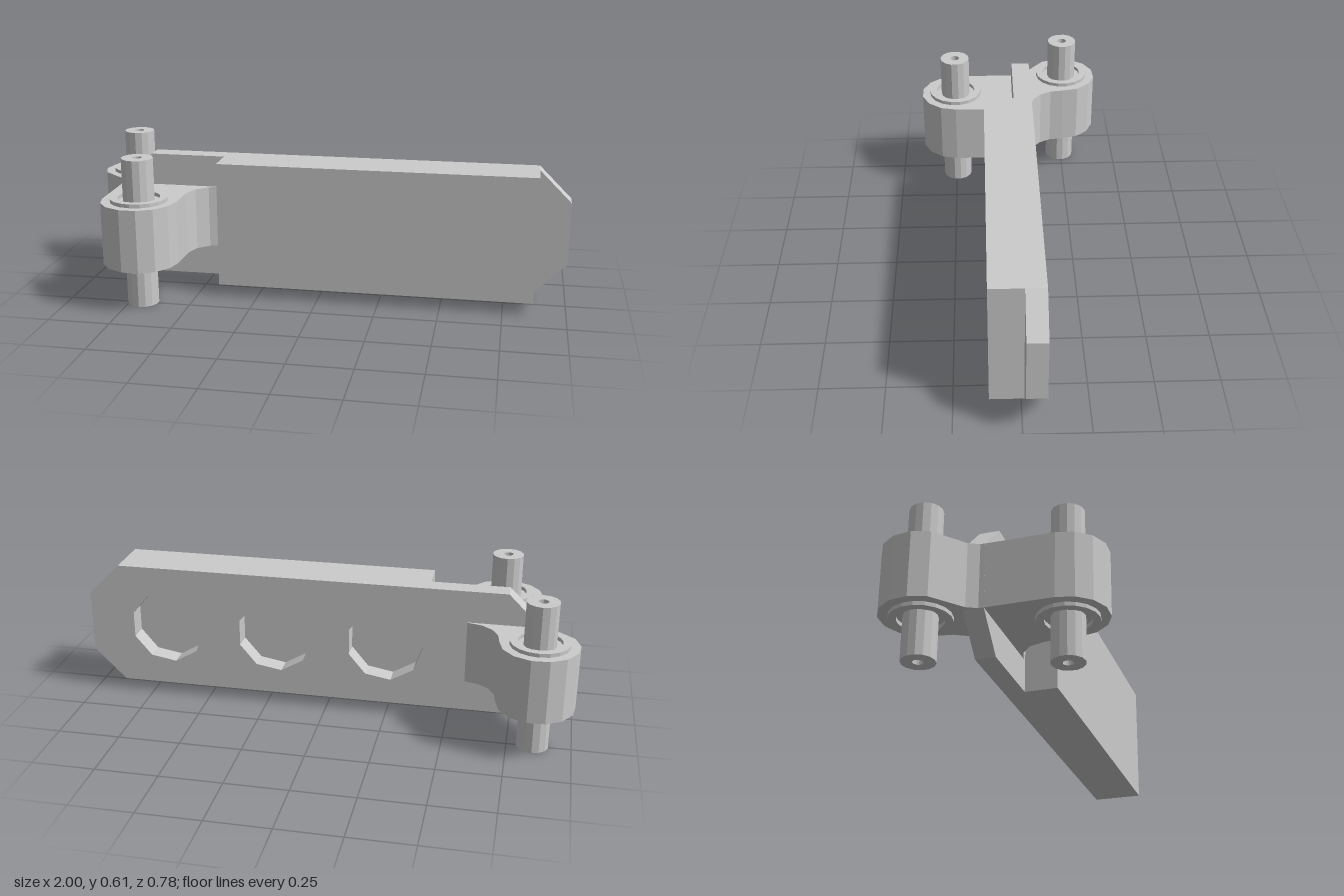
import * as THREE from 'three';

const material = new THREE.MeshStandardMaterial({ color: 0xcccccc, flatShading: true });

function add(parent, name, geometry) {
  const mesh = new THREE.Mesh(geometry, material);
  mesh.name = name;
  parent.add(mesh);
  return mesh;
}

const points = (list) => list.map(([x, y]) => new THREE.Vector2(x, y));

// Points along an arc, angles in degrees
function arc(cx, cy, r, from, to, steps) {
  return Array.from({ length: steps + 1 }, (_, i) => {
    const a = THREE.MathUtils.degToRad(from + ((to - from) * i) / steps);
    return [cx + r * Math.cos(a), cy + r * Math.sin(a)];
  });
}

const ARM_BOTTOM = 0.175, ARM_TOP = 0.43;

// Extrudes an outline drawn in x and z up to the height of the arms
function armGeometry(outline) {
  const depth = ARM_TOP - ARM_BOTTOM;
  return new THREE.ExtrudeGeometry(new THREE.Shape(points(outline)), { depth, bevelEnabled: false })
    .rotateX(Math.PI / 2)
    .translate(0, ARM_TOP, 0);
}

// Hollow pin with a raised washer ring above and below the arm
function addPin(parent, name, x, z) {
  const group = new THREE.Group();
  group.name = name;
  group.position.set(x, 0, z);
  const tube = [[0.02, 0], [0.063, 0], [0.063, 0.605], [0.02, 0.605], [0.02, 0]];
  add(group, 'hollowPin', new THREE.LatheGeometry(points(tube), 14));
  for (const [label, y] of [['lowerWasher', 0.16], ['upperWasher', ARM_TOP]]) {
    const h = 0.015;
    const ring = [[0.085, y], [0.115, y], [0.115, y + h], [0.085, y + h], [0.085, y]];
    add(group, label, new THREE.LatheGeometry(points(ring), 18));
  }
  parent.add(group);
}

export function createModel() {
  const model = new THREE.Group();
  model.name = 'hingedLever';

  // Back plate with clipped corners and three round pockets
  const plate = new THREE.Shape(points([
    [-0.72, 0.047], [0.87, 0.047], [1, 0.175], [1, 0.43],
    [0.87, 0.56], [-0.72, 0.56], [-0.85, 0.43], [-0.85, 0.175],
  ]));
  for (const x of [-0.24, 0.215, 0.67]) {
    plate.holes.push(new THREE.Path(points(arc(x, 0.303, 0.155, 380, 20, 9).slice(0, -1))));
  }
  add(model, 'backPlate', new THREE.ExtrudeGeometry(plate, { depth: 0.077, bevelEnabled: false })
    .translate(0, 0, -0.087));

  // Solid front block, which also closes the pockets
  add(model, 'frontBlock', new THREE.BoxGeometry(1.28, 0.513, 0.128).translate(0.23, 0.3035, 0.054));

  // Front arm with rounded end and fillet into the plate
  add(model, 'frontArm', armGeometry([
    [-0.85, -0.05], [-0.41, -0.05], [-0.41, -0.015], [-0.475, 0.005],
    [-0.52, 0.045], [-0.54, 0.11],
    ...arc(-0.695, 0.243, 0.153, 0, 180, 7),
  ]));

  // Rear arm, slanting outwards past the plate's end
  add(model, 'rearArm', armGeometry([
    [-0.57, -0.05], [-0.85, -0.03], [-0.87, -0.07],
    ...arc(-0.85, -0.243, 0.152, 148, 360, 8),
    [-0.69, -0.187], [-0.665, -0.14], [-0.625, -0.107], [-0.565, -0.09],
  ]));

  addPin(model, 'frontPin', -0.695, 0.245);
  addPin(model, 'rearPin', -0.85, -0.243);
  return model;
}
